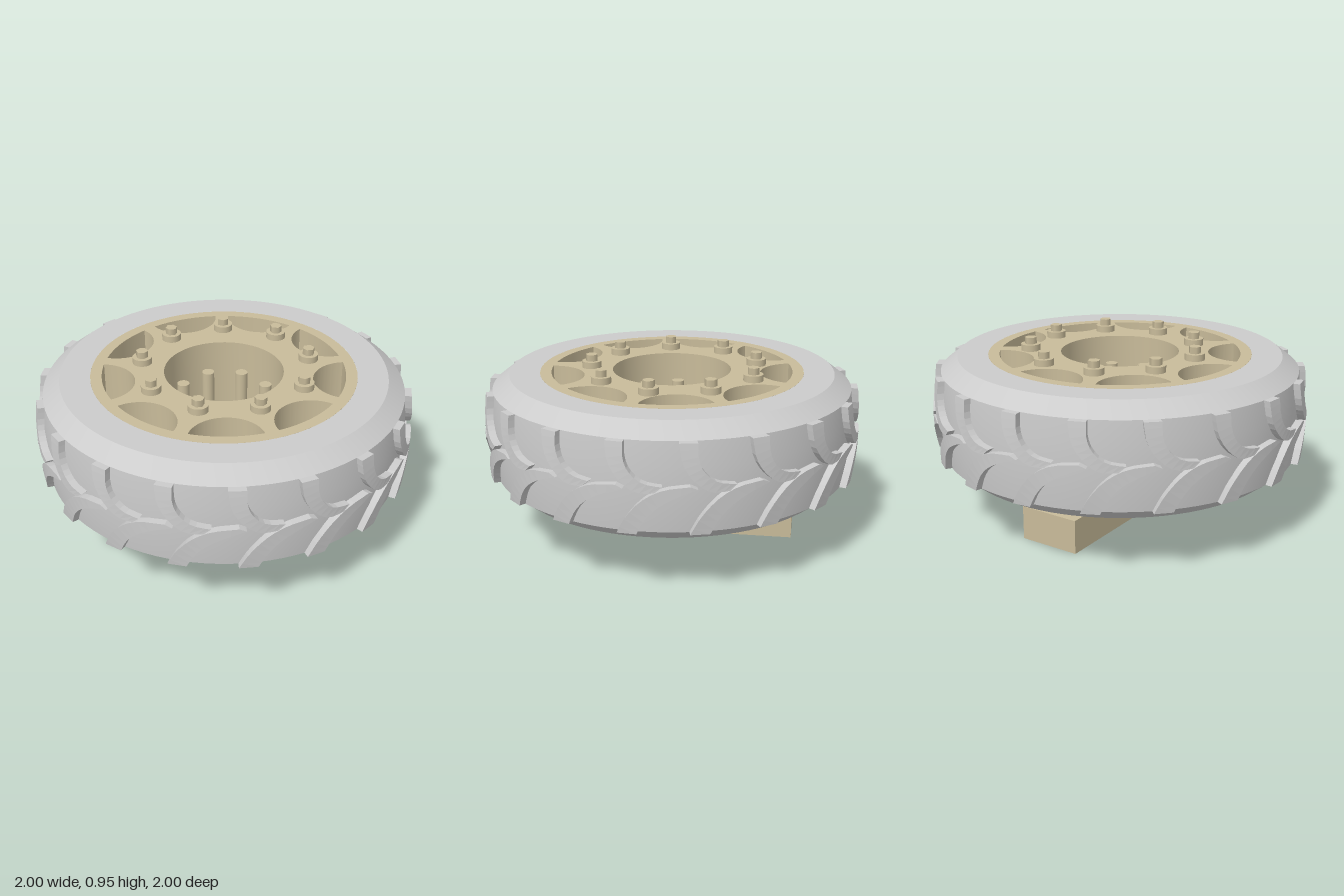
import * as THREE from 'three';
import { toCreasedNormals } from 'three/addons/utils/BufferGeometryUtils.js';

const RAD = Math.PI / 180;
const rubber = new THREE.MeshStandardMaterial({ color: 0xcccccc });
const lugMat = new THREE.MeshStandardMaterial({ color: 0xcccccc, flatShading: true });
const tan = new THREE.MeshStandardMaterial({ color: 0xc8bb9a });
const steel = new THREE.MeshStandardMaterial({ color: 0xa2aaae });

function add(parent, name, geometry, material, x = 0, y = 0, z = 0) {
  const mesh = new THREE.Mesh(geometry, material);
  mesh.name = name;
  mesh.position.set(x, y, z);
  parent.add(mesh);
  return mesh;
}

// Upright cylinder standing between two heights
function post(parent, name, r, y0, y1, material, x = 0, z = 0, sides = 32) {
  return add(parent, name, new THREE.CylinderGeometry(r, r, y1 - y0, sides), material, x, (y0 + y1) / 2, z);
}

// Tread lug: left and right edges as [degrees, height], listed from top to bottom
function lugGeometry(left, right) {
  const steps = 10;
  const curve = (pts) => new THREE.SplineCurve(pts.map(([a, y]) => new THREE.Vector2(a, y)));
  const l = curve(left), r = curve(right);
  const crown = (y) => 1 - 0.3 * (y - 0.585) ** 2;
  const pos = [], index = [];
  for (let i = 0; i <= steps; i++) {
    const p = l.getPoint(i / steps), q = r.getPoint(i / steps);
    for (const [c, outer] of [[p, 0], [p, 1], [q, 1], [q, 0]]) {
      const rad = outer ? crown(c.y) : 0.935;
      pos.push(rad * Math.sin(c.x * RAD), c.y, rad * Math.cos(c.x * RAD));
    }
  }
  for (let i = 0; i < steps; i++) {
    for (let j = 0; j < 3; j++) {
      const a = i * 4 + j, b = a + 4;
      index.push(a, b, b + 1, a, b + 1, a + 1);
    }
  }
  const e = steps * 4;
  index.push(0, 1, 2, 0, 2, 3, e, e + 2, e + 1, e, e + 3, e + 2);
  const g = new THREE.BufferGeometry();
  g.setAttribute('position', new THREE.Float32BufferAttribute(pos, 3));
  g.setIndex(index);
  g.computeVertexNormals();
  return g;
}

export function createModel() {
  const model = new THREE.Group();
  model.name = 'wheel';

  // Tyre body with bevelled shoulders
  const profile = [[0.86, 0.29], [0.95, 0.36], [0.962, 0.48], [0.962, 0.69], [0.95, 0.81], [0.86, 0.88], [0.7, 0.88]]
    .map(([r, y]) => new THREE.Vector2(r, y));
  add(model, 'tyre', toCreasedNormals(new THREE.LatheGeometry(profile, 96), 0.4), rubber);

  // Two rows of curved tread lugs
  const upper = lugGeometry(
    [[0, 0.81], [1, 0.71], [4, 0.63], [8.5, 0.575], [13.5, 0.575]],
    [[5, 0.81], [5.2, 0.73], [7, 0.665], [10.5, 0.62], [15.5, 0.605]]);
  const lower = lugGeometry(
    [[23, 0.605], [16, 0.59], [10.5, 0.54], [6, 0.455], [3, 0.36]],
    [[25, 0.59], [19.5, 0.555], [14.5, 0.505], [11, 0.44], [8.5, 0.36]]);
  const tread = new THREE.Group();
  tread.name = 'tread';
  model.add(tread);
  for (let i = 0; i < 18; i++) {
    add(tread, 'upperLug', upper, lugMat).rotation.y = i * 20 * RAD;
    add(tread, 'lowerLug', lower, lugMat).rotation.y = i * 20 * RAD;
  }

  // Rim face with a central well and nine rounded pockets
  const face = new THREE.Shape().absarc(0, 0, 0.7, 0, Math.PI * 2, false);
  face.holes.push(new THREE.Path().absarc(0, 0, 0.315, 0, Math.PI * 2, true));
  const R = 0.64, d = 0.66, r = 0.19;
  const beta = Math.acos((R * R + d * d - r * r) / (2 * R * d));
  const gamma = Math.atan2(R * Math.sin(beta), d - R * Math.cos(beta));
  for (let i = 0; i < 9; i++) {
    const a = (90 + i * 40) * RAD;
    const pocket = new THREE.Path();
    pocket.absarc(0, 0, R, a - beta, a + beta, false);
    pocket.absarc(d * Math.cos(a), d * Math.sin(a), r, a + Math.PI - gamma, a + Math.PI + gamma, false);
    face.holes.push(pocket);
  }
  const rim = new THREE.ExtrudeGeometry(face, { depth: 0.43, bevelEnabled: false, curveSegments: 32 });
  rim.rotateX(-Math.PI / 2);
  add(model, 'rim', toCreasedNormals(rim, 0.5), tan, 0, 0.45, 0);
  post(model, 'backPlate', 0.859, 0.29, 0.45, tan, 0, 0, 96);

  // Ring of bolts, each a washer with a hex head
  for (let i = 0; i < 9; i++) {
    const a = (-21 + i * 40) * RAD;
    const x = 0.02 + 0.45 * Math.sin(a), z = -0.02 - 0.45 * Math.cos(a);
    const bolt = new THREE.Group();
    bolt.name = 'bolt';
    model.add(bolt);
    post(bolt, 'washer', 0.052, 0.87, 0.915, tan, x, z, 24);
    post(bolt, 'hexHead', 0.032, 0.91, 0.95, tan, x, z, 6).rotation.y = -a;
  }

  // Studs standing in the well
  for (let i = 0; i < 8; i++) {
    const a = i * 45 * RAD;
    post(model, 'stud', 0.033, 0.44, 0.745, tan, 0.24 * Math.sin(a), 0.24 * Math.cos(a), 20);
  }

  // Axle with a bevelled hub cap, fixed to the mounting block
  const cap = [[0.157, 0.44], [0.157, 0.53], [0.13, 0.55], [0, 0.55]].map(([x, y]) => new THREE.Vector2(x, y));
  add(model, 'hubCap', toCreasedNormals(new THREE.LatheGeometry(cap, 48), 0.5), steel);
  post(model, 'axle', 0.137, 0.17, 0.46, steel, 0, 0, 48);
  add(model, 'mountingBlock', new THREE.BoxGeometry(0.33, 0.18, 0.89), tan, -0.015, 0.09, -0.225);

  return model;
}
